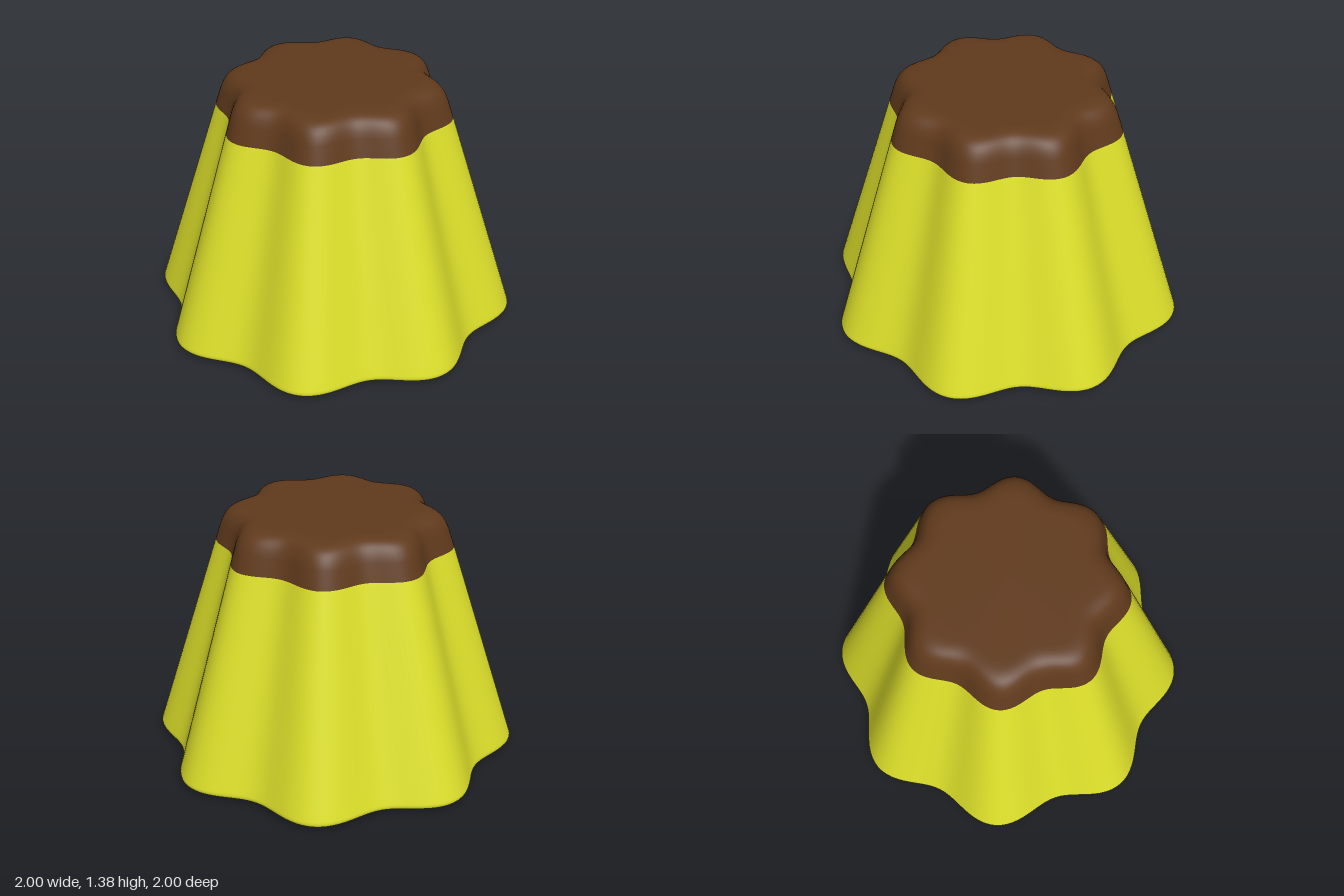
import * as THREE from 'three';
import { mergeVertices } from 'three/addons/utils/BufferGeometryUtils.js';

const LOBES = 8;

// Lathe a profile path, then push the wall in and out into eight soft flutes
function flutedLathe(path, color, name) {
  const geo = new THREE.LatheGeometry(path.getPoints(10), 192);
  const pos = geo.attributes.position;
  for (let i = 0; i < pos.count; i++) {
    const x = pos.getX(i), z = pos.getZ(i);
    const k = 0.94 + 0.06 * Math.cos(LOBES * Math.atan2(x, z));
    pos.setX(i, x * k);
    pos.setZ(i, z * k);
  }
  // weld the lathe seam so the shading runs smoothly all round
  geo.deleteAttribute('uv');
  geo.deleteAttribute('normal');
  const smooth = mergeVertices(geo, 1e-5);
  smooth.computeVertexNormals();
  const mesh = new THREE.Mesh(smooth, new THREE.MeshStandardMaterial({ color }));
  mesh.name = name;
  return mesh;
}

export function createModel() {
  const group = new THREE.Group();
  group.name = 'custardPudding';

  // custard body: flat underside, tight rounded rim, straight tapering wall
  const body = new THREE.Path();
  body.moveTo(0, 0);
  body.lineTo(0.8, 0);
  body.bezierCurveTo(0.96, 0.005, 1.015, 0.012, 0.997, 0.055);
  body.lineTo(0.985, 0.092);
  body.lineTo(0.645, 1.16);
  body.lineTo(0.64, 1.175);
  group.add(flutedLathe(body, 0xdde02a, 'custardBody'));

  // caramel top: continues the wall and rolls over to a flat top
  const top = new THREE.Path();
  top.moveTo(0.64, 1.175);
  top.lineTo(0.635, 1.19);
  top.lineTo(0.61, 1.268);
  top.bezierCurveTo(0.58, 1.35, 0.54, 1.375, 0.45, 1.375);
  top.lineTo(0.4, 1.375);
  top.lineTo(0, 1.375);
  group.add(flutedLathe(top, 0x603a1c, 'caramelTop'));

  return group;
}
